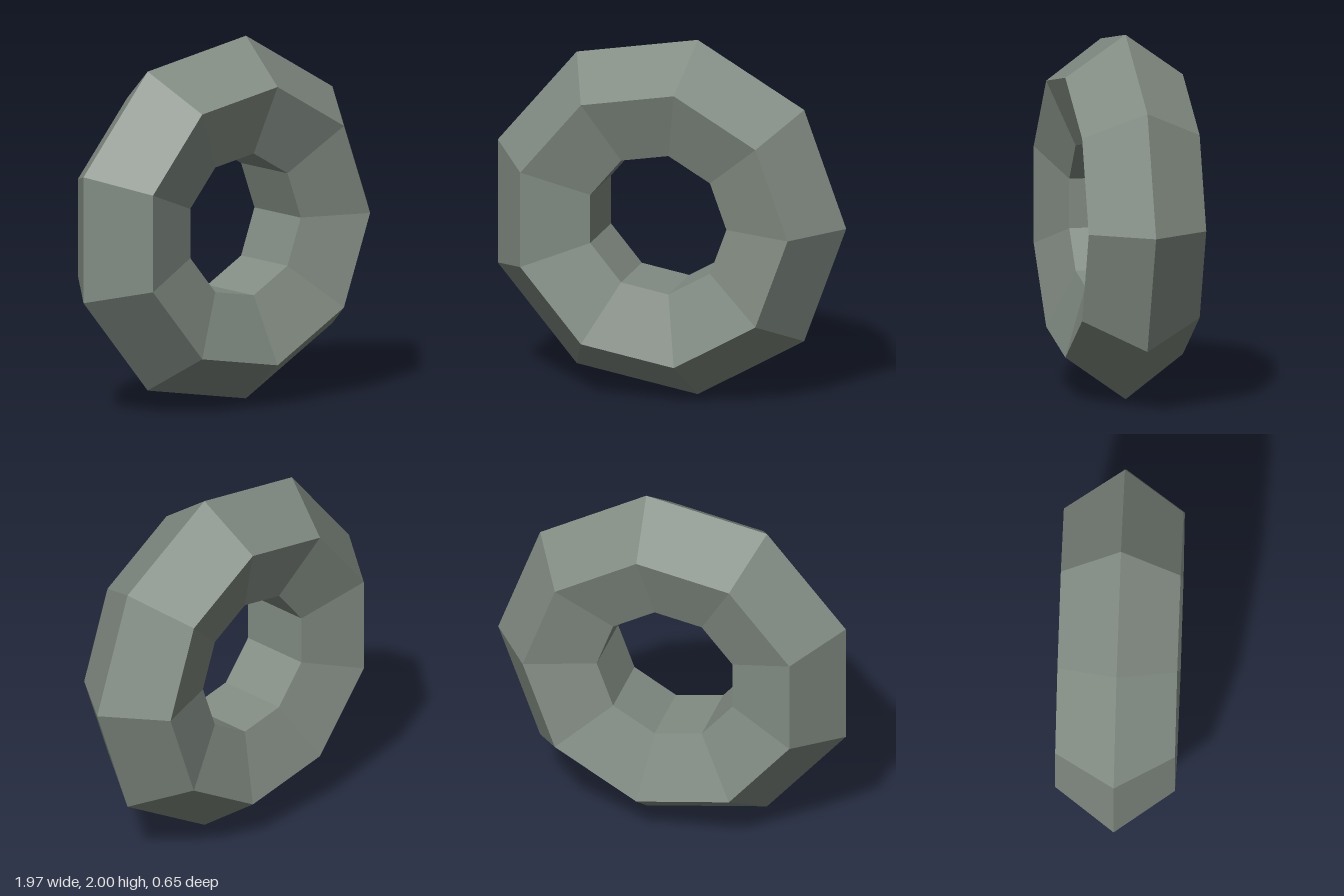
import * as THREE from 'three';

// Faceted ring: nine segments around, five-sided tube section
export function createModel() {
  const group = new THREE.Group();
  group.name = 'facetedRing';

  const greyGreen = new THREE.MeshStandardMaterial({ color: 0x828c83 });
  greyGreen.name = 'grey green';
  greyGreen.flatShading = true;

  const ring = new THREE.Mesh(new THREE.TorusGeometry(0.6735, 0.342, 5, 9), greyGreen);
  ring.name = 'ring';
  // Nine sides are lopsided in x, so shift the ring to centre its bounds
  ring.position.set(-0.03, 1, 0);
  group.add(ring);

  return group;
}
